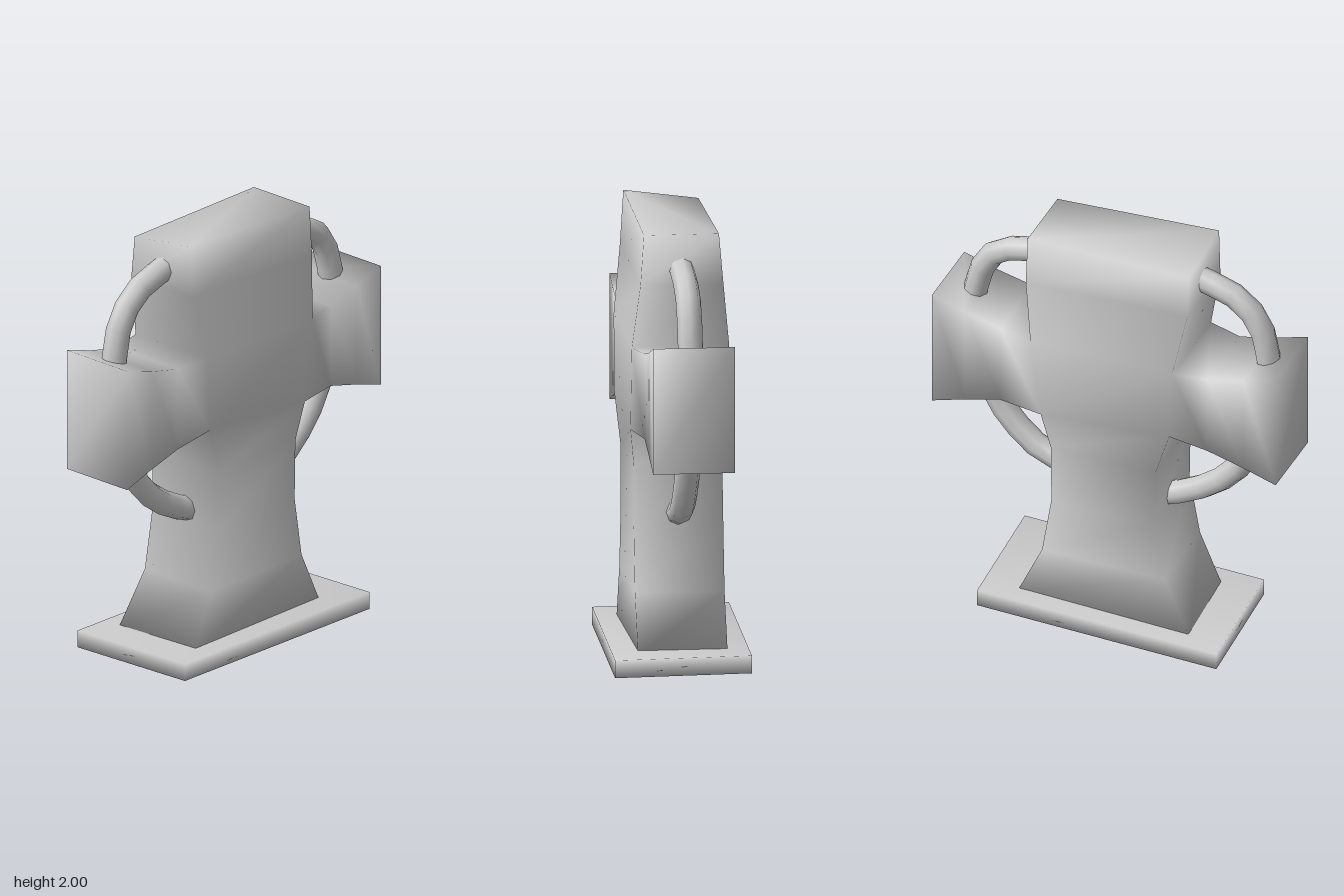
import * as THREE from 'three';
import { mergeVertices } from 'three/addons/utils/BufferGeometryUtils.js';

const material = new THREE.MeshStandardMaterial({ color: 0xcccccc });

// Two triangles for a quad whose corners run counter-clockwise seen from outside
const pushQuad = (out, a, b, c, d) => out.push(...a, ...b, ...c, ...a, ...c, ...d);

// Skin between four-cornered rings; skip(level, side) leaves a side open
function loft(out, rings, { start = true, end = true, skip = () => false } = {}) {
  for (let i = 0; i < rings.length - 1; i++) {
    for (let j = 0; j < 4; j++) {
      if (skip(i, j)) continue;
      const k = (j + 1) % 4;
      pushQuad(out, rings[i][j], rings[i][k], rings[i + 1][k], rings[i + 1][j]);
    }
  }
  if (start) pushQuad(out, ...rings[0].slice().reverse());
  if (end) pushQuad(out, ...rings[rings.length - 1]);
}

// Shared corners give soft, worn-stone shading
function smoothMesh(positions, name) {
  let geometry = new THREE.BufferGeometry();
  geometry.setAttribute('position', new THREE.Float32BufferAttribute(positions, 3));
  geometry = mergeVertices(geometry);
  geometry.computeVertexNormals();
  const mesh = new THREE.Mesh(geometry, material);
  mesh.name = name;
  return mesh;
}

function createCross() {
  // Shaft levels: left y, right y, left x, right x, front z, back z
  const rings = [
    [0.06, 0.06, -0.41, 0.41, 0.2, -0.2],
    [0.32, 0.32, -0.3, 0.29, 0.2, -0.2],
    [0.6, 0.6, -0.25, 0.245, 0.2, -0.2],
    [0.88, 0.88, -0.255, 0.25, 0.2, -0.195],
    [1.11, 1.06, -0.33, 0.29, 0.22, -0.215],
    [1.455, 1.44, -0.345, 0.34, 0.22, -0.215],
    [1.76, 1.73, -0.405, 0.375, 0.185, -0.185],
    [1.955, 1.955, -0.405, 0.375, 0.17, -0.165],
  ].map(([yl, yr, xl, xr, zf, zb]) => [[xl, yl, zf], [xr, yr, zf], [xr, yr, zb], [xl, yl, zb]]);
  rings[0][3] = [-0.44, 0.06, -0.235]; // splayed foot corner
  rings[7][0][1] = 2; // raised top corner

  const positions = [];
  const ARM = 4; // the arms leave the shaft between this level and the next
  loft(positions, rings, { skip: (i, j) => i === ARM && j % 2 === 1 });

  // Flared arms grow out of the two openings
  for (const side of [1, -1]) {
    const [a, b] = side > 0 ? [1, 2] : [3, 0];
    const root = [rings[ARM][a], rings[ARM][b], rings[ARM + 1][b], rings[ARM + 1][a]];
    const sections = [
      [0.5, 1.06, 1.445],
      [0.67, 1.015, 1.485],
      [0.83, 0.965, 1.535],
    ].map(([x, low, high]) => {
      const z = 0.182 * side;
      return [[x * side, low, z], [x * side, low, -z], [x * side, high, -z], [x * side, high, z]];
    });
    loft(positions, [root, ...sections], { start: false });
  }
  return smoothMesh(positions, 'cross');
}

// Thin, slightly skewed slab
function createBase() {
  const outline = [[-0.57, 0.29], [0.6, 0.325], [0.565, -0.29], [-0.605, -0.325]];
  const positions = [];
  loft(positions, [0, 0.08].map((y) => outline.map(([x, z]) => [x, y, z])));
  return smoothMesh(positions, 'base');
}

// Four hand-bent bars make up the ring
function createRing() {
  const ring = new THREE.Group();
  ring.name = 'ring';
  const arcs = {
    upperLeftArc: [[0.33, 1.8], [0.575, 1.735], [0.655, 1.64], [0.71, 1.43]],
    upperRightArc: [[-0.34, 1.86], [-0.575, 1.785], [-0.68, 1.665], [-0.73, 1.42]],
    lowerLeftArc: [[0.66, 1.08], [0.57, 0.9], [0.46, 0.775], [0.37, 0.71], [0.2, 0.66]],
    lowerRightArc: [[-0.67, 1.08], [-0.58, 0.89], [-0.485, 0.785], [-0.34, 0.69], [-0.19, 0.63]],
  };
  for (const [name, points] of Object.entries(arcs)) {
    const curve = new THREE.CatmullRomCurve3(points.map(([x, y]) => new THREE.Vector3(x, y, 0)));
    const bar = new THREE.Mesh(new THREE.TubeGeometry(curve, 6, 0.056, 8), material);
    bar.name = name;
    ring.add(bar);
  }
  return ring;
}

export function createModel() {
  const model = new THREE.Group();
  model.name = 'ringedStoneCross';
  model.add(createBase(), createCross(), createRing());
  return model;
}
